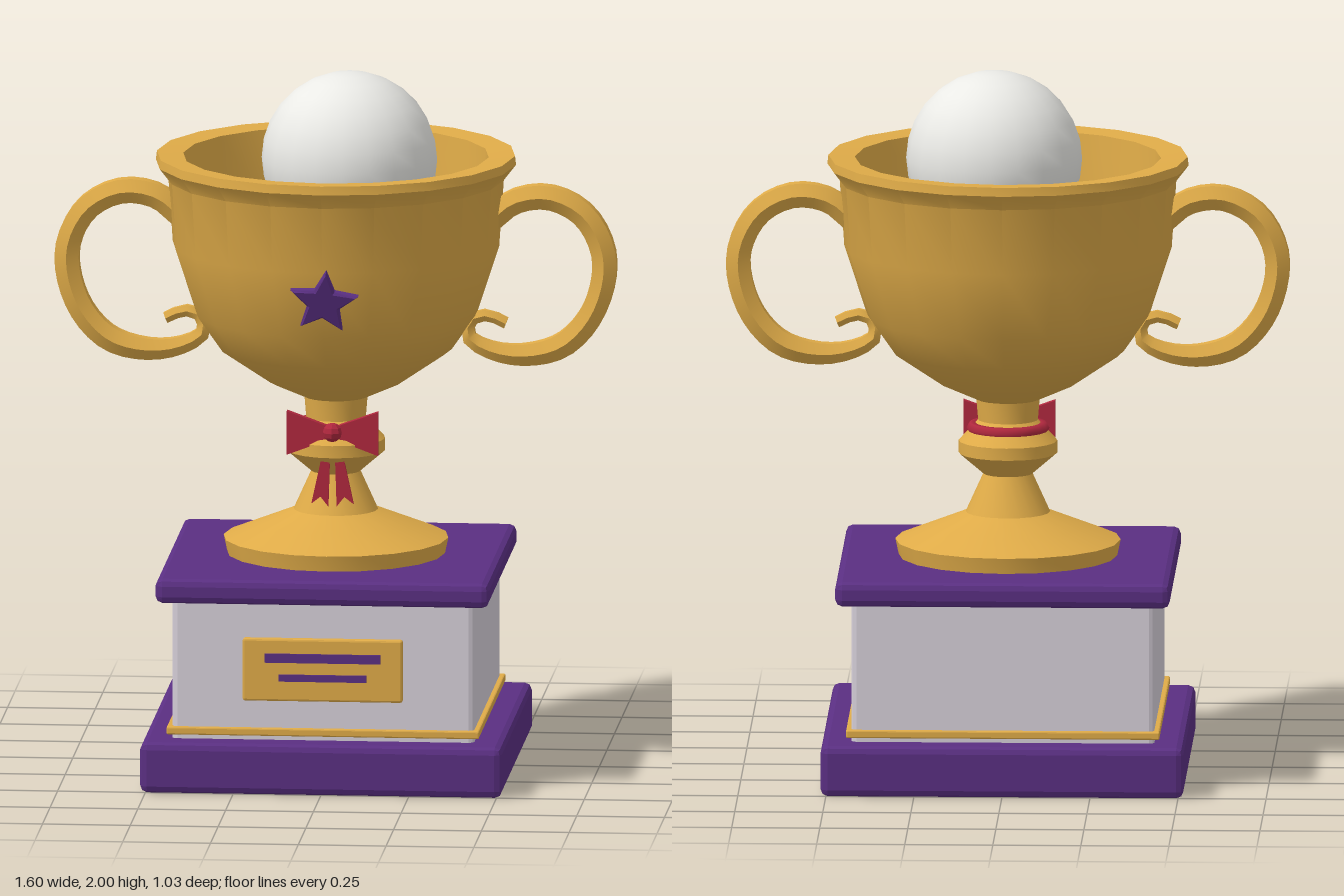
import * as THREE from 'three';
import { toCreasedNormals } from 'three/addons/utils/BufferGeometryUtils.js';
import { RoundedBoxGeometry } from 'three/addons/geometries/RoundedBoxGeometry.js';

const mat = (color, flatShading = false) =>
  new THREE.MeshStandardMaterial({ color, flatShading });

export function createModel() {
  const model = new THREE.Group();
  model.name = 'trophy';
  const gold = mat(0xdfab48), goldFlat = mat(0xdfab48, true);
  const purple = mat(0x5a2f82, true), red = mat(0xb0283e, true), redSmooth = mat(0xb0283e);
  const stone = mat(0xd6cfd9, true), white = mat(0xeaeae6);

  const add = (name, geometry, material, x = 0, y = 0, z = 0, parent = model) => {
    const mesh = new THREE.Mesh(geometry, material);
    mesh.name = name;
    mesh.position.set(x, y, z);
    parent.add(mesh);
    return mesh;
  };
  // Chamfered box spanning y0..y1
  const slab = (name, w, d, y0, y1, chamfer, material, x = 0, z = 0) =>
    add(name, new RoundedBoxGeometry(w, y1 - y0, d, 1, chamfer), material, x, (y0 + y1) / 2, z);
  const polygon = (pts) => new THREE.Shape(pts.map(([x, y]) => new THREE.Vector2(x, y)));
  const plate = (pts, depth, bevel = 0) => new THREE.ExtrudeGeometry(polygon(pts), {
    depth, bevelEnabled: bevel > 0, bevelSize: bevel, bevelThickness: bevel, bevelSegments: 1,
  }).translate(0, 0, -depth / 2);

  // Square pedestal
  slab('pedestalBase', 1.03, 1.03, 0, 0.145, 0.02, purple);
  slab('pedestalBlock', 0.86, 0.86, 0.13, 0.56, 0.015, stone);
  slab('pedestalTrim', 0.89, 0.89, 0.158, 0.18, 0.004, goldFlat);
  slab('pedestalTop', 0.95, 0.95, 0.54, 0.61, 0.02, purple);

  // Name plate with two bars
  slab('plaque', 0.455, 0.04, 0.26, 0.44, 0.006, goldFlat, 0, 0.43);
  add('plaqueBarLong', new THREE.BoxGeometry(0.33, 0.026, 0.02), purple, 0, 0.385, 0.446);
  add('plaqueBarShort', new THREE.BoxGeometry(0.25, 0.02, 0.02), purple, 0, 0.328, 0.446);

  // Foot, stem, knob, bowl, rim and inside in one turned profile
  const profile = [
    [0.31, 0.608], [0.32, 0.655], [0.22, 0.695], [0.12, 0.735], [0.07, 0.845],
    [0.14, 0.905], [0.14, 0.94], [0.085, 1.0], [0.09, 1.06],
    [0.19, 1.105], [0.33, 1.2], [0.4, 1.3], [0.465, 1.5], [0.478, 1.69],
    [0.513, 1.735], [0.51, 1.76], [0.435, 1.755], [0.42, 1.57], [0.25, 1.55], [0, 1.545],
  ].map(([r, y]) => new THREE.Vector2(r, y));
  add('cup', toCreasedNormals(new THREE.LatheGeometry(profile, 20), 0.62), gold);

  add('ball', new THREE.SphereGeometry(0.25, 20, 14), white, 0.04, 1.75, 0.02);

  // Scrolled handles: six-sided tube that thins towards the curl
  const path = new THREE.CatmullRomCurve3([
    [0.44, 1.575], [0.51, 1.63], [0.61, 1.643], [0.71, 1.59], [0.765, 1.47], [0.735, 1.32],
    [0.65, 1.22], [0.54, 1.188], [0.44, 1.2], [0.378, 1.238], [0.385, 1.285], [0.43, 1.3], [0.485, 1.278],
  ].map(([x, y]) => new THREE.Vector3(x, y, 0)));
  const rings = 36, sides = 6;
  const tube = new THREE.TubeGeometry(path, rings, 0.04, sides);
  const pos = tube.attributes.position, v = new THREE.Vector3();
  for (let i = 0; i <= rings; i++) {
    const centre = path.getPointAt(i / rings);
    const k = 1 - 0.55 * THREE.MathUtils.smoothstep(i / rings, 0.6, 1);
    for (let j = 0; j <= sides; j++) {
      const n = i * (sides + 1) + j;
      v.fromBufferAttribute(pos, n).sub(centre).multiplyScalar(k).add(centre);
      pos.setXYZ(n, v.x, v.y, v.z);
    }
  }
  const handleGeo = toCreasedNormals(tube, 0.6);
  const end = path.getPointAt(1), tangent = path.getTangentAt(1);
  for (const [name, turn] of [['leftHandle', 0], ['rightHandle', Math.PI]]) {
    const handle = new THREE.Group();
    handle.name = name;
    handle.rotation.y = turn;
    model.add(handle);
    add(name + 'Tube', handleGeo, gold, 0, 0, 0, handle);
    const cap = add(name + 'Tip', new THREE.CircleGeometry(0.018, sides), goldFlat, end.x, end.y, 0, handle);
    cap.quaternion.setFromUnitVectors(new THREE.Vector3(0, 0, 1), tangent);
  }

  // Star leaning with the bowl wall
  const starPts = Array.from({ length: 10 }, (_, i) => {
    const a = Math.PI / 2 + i * Math.PI / 5, r = i % 2 ? 0.04 : 0.092;
    return [r * Math.cos(a), r * Math.sin(a)];
  });
  const star = add('star', plate(starPts, 0.014, 0.007), purple, 0.003, 1.415, 0.447);
  star.rotation.set(0.33, 0, -0.1);

  // Ribbon around the stem with bow and tails
  add('ribbonBand', new THREE.TorusGeometry(0.1, 0.018, 6, 20).rotateX(Math.PI / 2), redSmooth, 0, 0.976, 0);
  const loop = [[0, 0.015], [0, -0.015], [0.13, -0.064], [0.13, 0.062]];
  const tail = [[0, 0], [0.022, 0], [0.035, -0.09], [0.06, -0.205], [0.034, -0.185], [0.012, -0.213], [0.008, -0.09]];
  for (const [side, s] of [['left', 1], ['right', -1]]) {
    const mirrored = (pts) => pts.map(([x, y]) => [s * x, y]);
    add(side + 'BowLoop', plate(mirrored(loop), 0.024), red, 0, 0.974, 0.11);
    add(side + 'BowTail', plate(mirrored(tail), 0.012), red, 0, 0.975, 0.114);
  }
  add('bowKnot', new THREE.SphereGeometry(0.028, 8, 6), red, 0, 0.976, 0.12);

  return model;
}
